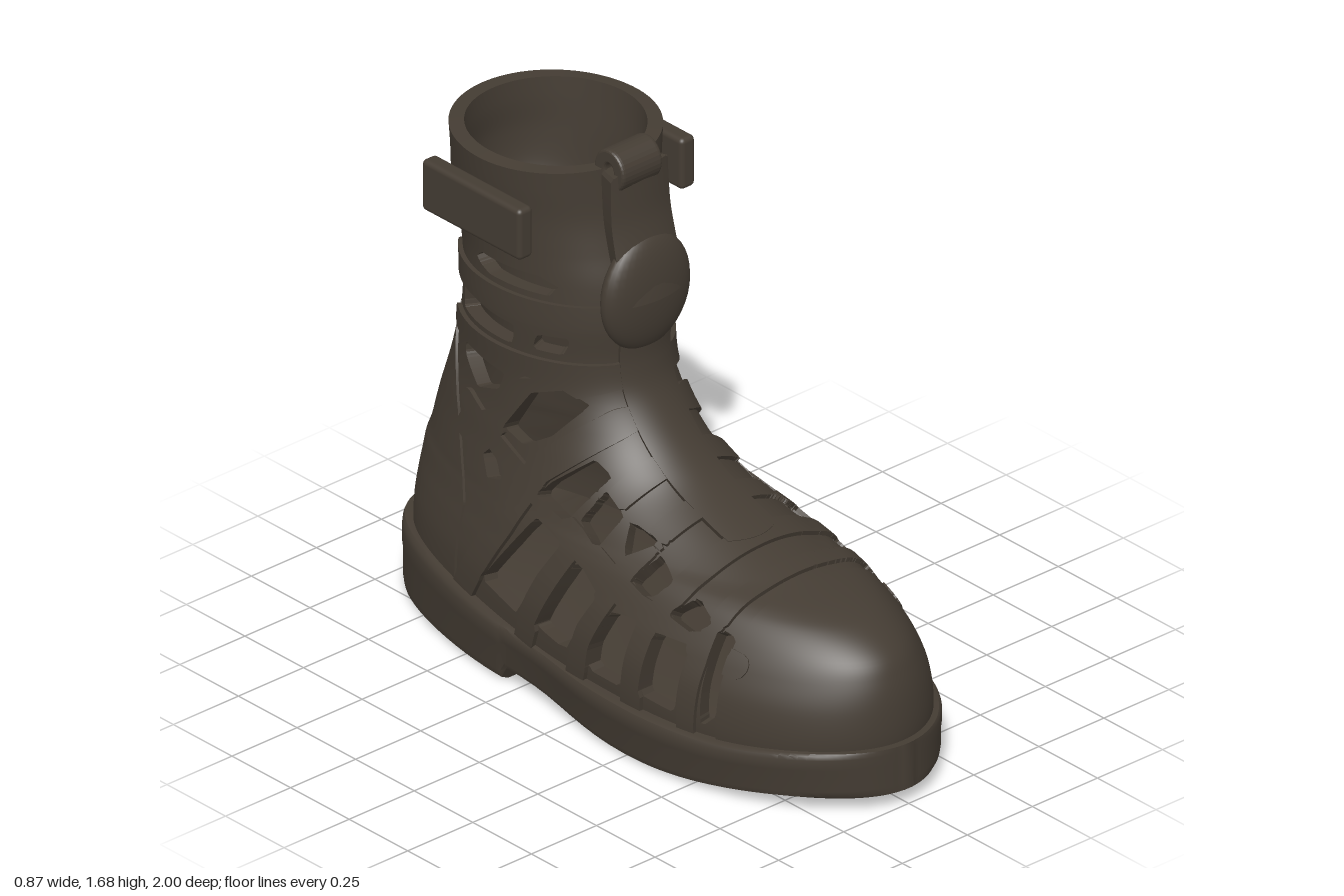
import * as THREE from 'three';
import { toCreasedNormals } from 'three/addons/utils/BufferGeometryUtils.js';
import { RoundedBoxGeometry } from 'three/addons/geometries/RoundedBoxGeometry.js';

const leather = new THREE.MeshStandardMaterial({ color: 0x443c33 });
leather.name = 'dark brown leather';

// Horizontal rings of the upper: y, front z, back z, half width, z of widest point, heel bluntness
const RINGS = [
  [0.10, 0.95, -0.95, 0.39, 0.25, 0.66], [0.20, 0.97, -0.96, 0.4, 0.24, 0.68],
  [0.30, 0.965, -0.96, 0.395, 0.18, 0.7], [0.38, 0.945, -0.955, 0.375, 0.08, 0.74],
  [0.44, 0.91, -0.95, 0.352, -0.02, 0.78], [0.49, 0.835, -0.945, 0.332, -0.12, 0.82],
  [0.52, 0.74, -0.935, 0.318, -0.2, 0.85], [0.55, 0.56, -0.925, 0.305, -0.28, 0.88],
  [0.60, 0.36, -0.915, 0.29, -0.34, 0.92], [0.66, 0.18, -0.9, 0.276, -0.38, 0.95],
  [0.72, 0.07, -0.88, 0.266, -0.41, 0.97], [0.80, -0.02, -0.855, 0.255, -0.43, 1],
  [0.90, -0.09, -0.825, 0.25, -0.45, 1], [1.00, -0.115, -0.805, 0.255, -0.46, 1],
  [1.12, -0.115, -0.79, 0.262, -0.46, 1], [1.24, -0.13, -0.80, 0.262, -0.47, 1],
  [1.34, -0.16, -0.825, 0.27, -0.49, 1], [1.44, -0.185, -0.83, 0.28, -0.5, 1],
  [1.54, -0.195, -0.82, 0.295, -0.5, 1], [1.64, -0.2, -0.82, 0.308, -0.5, 1],
];

// Cut-outs on each side, as [z, y] outlines
const HOLES = [
  [[0.555, 0.45], [0.51, 0.46], [0.525, 0.2], [0.565, 0.24]],
  [[0.43, 0.4], [0.32, 0.4], [0.305, 0.22], [0.425, 0.21]],
  [[0.24, 0.41], [0.14, 0.4], [0.09, 0.28], [0.08, 0.21], [0.22, 0.21]],
  [[0.07, 0.42], [-0.04, 0.48], [-0.15, 0.25], [-0.03, 0.23]],
  [[-0.12, 0.5], [-0.24, 0.53], [-0.42, 0.28], [-0.26, 0.25]],
  [[0.47, 0.47], [0.39, 0.51], [0.34, 0.46], [0.43, 0.44]],
  [[0.29, 0.52], [0.2, 0.56], [0.175, 0.5], [0.24, 0.48]],
  [[0.17, 0.585], [0.07, 0.61], [0.1, 0.54]],
  [[0.03, 0.62], [-0.045, 0.66], [-0.08, 0.58], [0.0, 0.54]],
  [[-0.06, 0.7], [-0.115, 0.73], [-0.22, 0.64], [-0.25, 0.6], [-0.135, 0.57]],
  [[-0.18, 0.875], [-0.245, 0.91], [-0.33, 0.88], [-0.42, 0.74], [-0.35, 0.72], [-0.26, 0.775]],
  [[-0.455, 0.895], [-0.65, 0.905], [-0.65, 0.87], [-0.57, 0.81], [-0.475, 0.845]],
  [[-0.42, 0.585], [-0.475, 0.65], [-0.505, 0.62], [-0.475, 0.57]],
  [[-0.405, 1.075], [-0.66, 1.09], [-0.665, 1.02], [-0.415, 1.02]],
  [[-0.235, 1.075], [-0.32, 1.07], [-0.33, 1.03], [-0.25, 1.03]],
  [[-0.265, 1.235], [-0.32, 1.26], [-0.53, 1.26], [-0.56, 1.235], [-0.5, 1.215], [-0.29, 1.215]],
];

// Raised straps on each side: half width, then [z, y] points
const STRAPS = {
  latticeStrap: [0.034, [[0.6, 0.39], [0.22, 0.445], [-0.07, 0.53], [-0.34, 0.635], [-0.6, 0.75]]],
  toeStrap: [0.03, [[0.475, 0.15], [0.48, 0.42], [0.53, 0.7]]],
  archStrap: [0.04, [[0.265, 0.15], [0.28, 0.4], [0.33, 0.52], [0.36, 0.64]]],
  midStrap: [0.038, [[0.02, 0.15], [0.06, 0.3], [0.12, 0.47], [0.2, 0.7]]],
  instepStrap: [0.04, [[-0.22, 0.15], [-0.17, 0.3], [-0.08, 0.5], [0.03, 0.72]]],
  ankleStrap: [0.045, [[-0.52, 0.2], [-0.36, 0.48], [-0.27, 0.67], [-0.1, 0.83]]],
  heelStrap: [0.04, [[-0.6, 0.67], [-0.46, 0.74], [-0.36, 0.88], [-0.12, 0.97]]],
  lowerCuffStrap: [0.035, [[-0.08, 0.97], [-0.7, 0.96]]],
  upperCuffStrap: [0.04, [[-0.05, 1.15], [-0.72, 1.15]]],
};

// Distance from a point to a segment, in the side plane
function segDist(z, y, [az, ay], [bz, by]) {
  const dz = bz - az, dy = by - ay;
  const t = THREE.MathUtils.clamp(((z - az) * dz + (y - ay) * dy) / (dz * dz + dy * dy), 0, 1);
  return Math.hypot(z - az - t * dz, y - ay - t * dy);
}

// Signed distance to an outline, positive inside
function inside(poly, z, y) {
  let d = Infinity, within = false;
  poly.forEach((a, i) => {
    const b = poly[(i + 1) % poly.length];
    d = Math.min(d, segDist(z, y, a, b));
    if ((a[1] > y) !== (b[1] > y) && z < a[0] + (b[0] - a[0]) * (y - a[1]) / (b[1] - a[1])) within = !within;
  });
  return within ? d : -d;
}

// Point on the smooth boot surface: u runs round from the front, v from sole to collar
function surface(u, v) {
  const last = RINGS.length - 1, s = THREE.MathUtils.clamp(v, 0, 1) * last;
  const i = Math.min(Math.floor(s), last - 1), t = s - i;
  const [y, zf, zb, w, zm, blunt] = RINGS[i].map((b, k) => {
    const a = RINGS[Math.max(i - 1, 0)][k], c = RINGS[i + 1][k], d = RINGS[Math.min(i + 2, last)][k];
    return b + 0.5 * t * (c - a + t * (2 * a - 5 * b + 4 * c - d + t * (3 * (b - c) + d - a)));
  });
  const c = Math.cos(u * 2 * Math.PI), sn = Math.sin(u * 2 * Math.PI);
  const x = w * Math.sign(sn) * Math.abs(sn) ** (c > 0 ? 1 : blunt);
  return new THREE.Vector3(x, y, zm + c * (c > 0 ? zf - zm : zm - zb));
}

const NU = 180, NV = 100;
const grid = [];
for (let j = 0; j <= NV; j++) for (let i = 0; i <= NU; i++) {
  const u = i / NU, v = j / NV, e = 0.004;
  const du = surface(u + e, v).sub(surface(u - e, v));
  const dv = surface(u, Math.min(v + e, 1)).sub(surface(u, Math.max(v - e, 0)));
  grid.push({ p: surface(u, v), n: du.cross(dv).normalize() });
}

// Leather panel: the part of the surface where field > 0, between two offsets, with cut edges walled
function panel(name, field, outer, inner, lined) {
  const pos = [], nor = [];
  const put = (p, n) => { pos.push(p.x, p.y, p.z); nor.push(n.x, n.y, n.z); };
  const shift = (q, d) => q.p.clone().addScaledVector(q.n, d);
  const verts = grid.map(g => ({ ...g, f: field(g.p) }));
  const clip = (tri) => {
    if (tri.every(q => q.f < 0)) return;
    const out = []; let exit, entry;
    tri.forEach((a, k) => {
      const b = tri[(k + 1) % 3];
      if (a.f >= 0) out.push(a);
      if ((a.f >= 0) !== (b.f >= 0)) {
        const t = a.f / (a.f - b.f);
        const m = { p: a.p.clone().lerp(b.p, t), n: a.n.clone().lerp(b.n, t).normalize() };
        out.push(m);
        if (a.f >= 0) exit = m; else entry = m;
      }
    });
    for (let k = 1; k + 1 < out.length; k++) {
      [out[0], out[k], out[k + 1]].forEach(q => put(shift(q, outer), q.n));
      if (lined) [out[0], out[k + 1], out[k]].forEach(q => put(shift(q, inner), q.n.clone().negate()));
    }
    if (exit) {
      const e0 = shift(exit, outer), e1 = shift(entry, outer), i0 = shift(exit, inner), i1 = shift(entry, inner);
      const n = e0.clone().sub(e1).cross(i0.clone().sub(e1)).normalize();
      [e1, e0, i0, e1, i0, i1].forEach(p => put(p, n));
    }
  };
  for (let j = 0; j < NV; j++) for (let i = 0; i < NU; i++) {
    const k = j * (NU + 1) + i, a = verts[k], b = verts[k + 1], c = verts[k + NU + 2], d = verts[k + NU + 1];
    clip([a, b, c]);
    clip([a, c, d]);
  }
  const g = new THREE.BufferGeometry();
  g.setAttribute('position', new THREE.Float32BufferAttribute(pos, 3));
  g.setAttribute('normal', new THREE.Float32BufferAttribute(nor, 3));
  return part(name, g);
}

function part(name, geometry) {
  const m = new THREE.Mesh(geometry, leather);
  m.name = name;
  return m;
}

// Sole: rounded sections lofted from toe to heel, with a step under the arch and closed ends
function soleGeometry() {
  const zs = [-0.295, -0.315];
  for (let k = 0; k <= 64; k++) {
    const c = Math.cos(k / 64 * Math.PI);
    zs.push(0.25 + c * (c > 0 ? 0.75 : 1.25));
  }
  zs.sort((a, b) => b - a);
  const half = [[0.9, 0], [0.965, 0.06], [0.985, 0.18], [0.98, 0.55], [1, 0.66], [1, 0.88], [0.985, 0.96], [0.95, 1]];
  const section = [...half, ...half.map(([x, y]) => [-x, y]).reverse()], n = section.length;
  const step = THREE.MathUtils.smoothstep, pos = [], idx = [];
  zs.forEach((z, k) => {
    const c = (z - 0.25) / (z > 0.25 ? 0.75 : 1.25);
    const waist = 0.02 * Math.exp(-(((z + 0.15) / 0.2) ** 2));
    const w = Math.max(0.02, 0.435 * Math.sqrt(Math.max(0, 1 - c * c)) ** (z > 0.25 ? 1 : 0.66) - waist);
    const top = 0.168 + 0.03 * step(z, 0.5, 1) + 0.062 * step(-z, -0.1, 0.9);
    const bottom = z > -0.3 ? 0.05 * step(z, 0.3, 1) + 0.04 * step(-z, -0.25, 0.28) : 0.018 * step(-z, 0.85, 1);
    section.forEach(([x, y], i) => {
      pos.push(x * w, bottom + y * (top - bottom), z);
      if (k + 1 < zs.length) {
        const a = k * n + i, b = k * n + (i + 1) % n;
        idx.push(a, a + n, b, b, a + n, b + n);
      }
    });
  });
  const heel = (zs.length - 1) * n;
  for (let i = 1; i + 1 < n; i++) idx.push(0, i, i + 1, heel, heel + i + 1, heel + i);
  const g = new THREE.BufferGeometry();
  g.setAttribute('position', new THREE.Float32BufferAttribute(pos, 3));
  g.setIndex(idx);
  return toCreasedNormals(g, 0.7);
}

export function createModel() {
  const boot = new THREE.Group();
  boot.name = 'strappedSandalBoot';
  const isCut = p => Math.max(...HOLES.map(h => inside(h, p.z, p.y))) + 0.006;
  boot.add(part('sole', soleGeometry()));
  boot.add(panel('upper', p => Math.min(1.605 - p.y, -isCut(p)), 0, -0.045, true));

  // Raised layers, trimmed by the same cut-outs
  for (const [name, [r, pts]] of Object.entries(STRAPS)) {
    boot.add(panel(name, p => Math.min(-isCut(p),
      r - Math.min(...pts.slice(1).map((b, i) => segDist(p.z, p.y, pts[i], b)))), 0.014, -0.01));
  }
  boot.add(panel('toeCap', p => p.z - 0.575, 0.008, -0.01));
  const counter = [[-0.57, 0.1], [-0.56, 0.45], [-0.66, 0.7], [-0.78, 0.95], [-1.1, 0.95], [-1.1, 0.1]];
  boot.add(panel('heelCounter', p => inside(counter, p.z, p.y), 0.008, -0.01));
  boot.add(panel('tongueStrip', p => Math.min(0.09 - Math.abs(p.x), p.z + 0.35, p.y - 0.6, 1.605 - p.y), 0.016, -0.01));
  boot.add(panel('tongueTop', p => Math.min(0.09 - Math.abs(p.x), p.z + 0.35, p.y - 1.2, 1.605 - p.y), 0.065, -0.01));

  // Oval shin pad
  const pad = part('shinPad', new THREE.SphereGeometry(1, 32, 20));
  pad.scale.set(0.165, 0.185, 0.06);
  pad.position.set(0, 1.215, -0.125);
  boot.add(pad);

  // Pull loop above the tongue
  const ring = new THREE.Shape().absellipse(0, 0, 0.055, 0.06, 0, Math.PI * 2);
  ring.holes.push(new THREE.Path().absellipse(0, 0, 0.026, 0.032, 0, Math.PI * 2, true));
  const loop = part('pullLoop', new THREE.ExtrudeGeometry(ring, {
    depth: 0.13, bevelThickness: 0.012, bevelSize: 0.008, bevelSegments: 3, curveSegments: 16 }));
  loop.rotation.y = Math.PI / 2;
  loop.position.set(-0.075, 1.607, -0.185);
  boot.add(loop);

  // Fastening tabs on both sides of the cuff
  for (const side of [1, -1]) {
    const tab = part(side > 0 ? 'leftTab' : 'rightTab', new RoundedBoxGeometry(0.055, 0.165, 0.42, 3, 0.015));
    tab.position.set(side * 0.312, 1.445, -0.495);
    boot.add(tab);
  }
  return boot;
}
